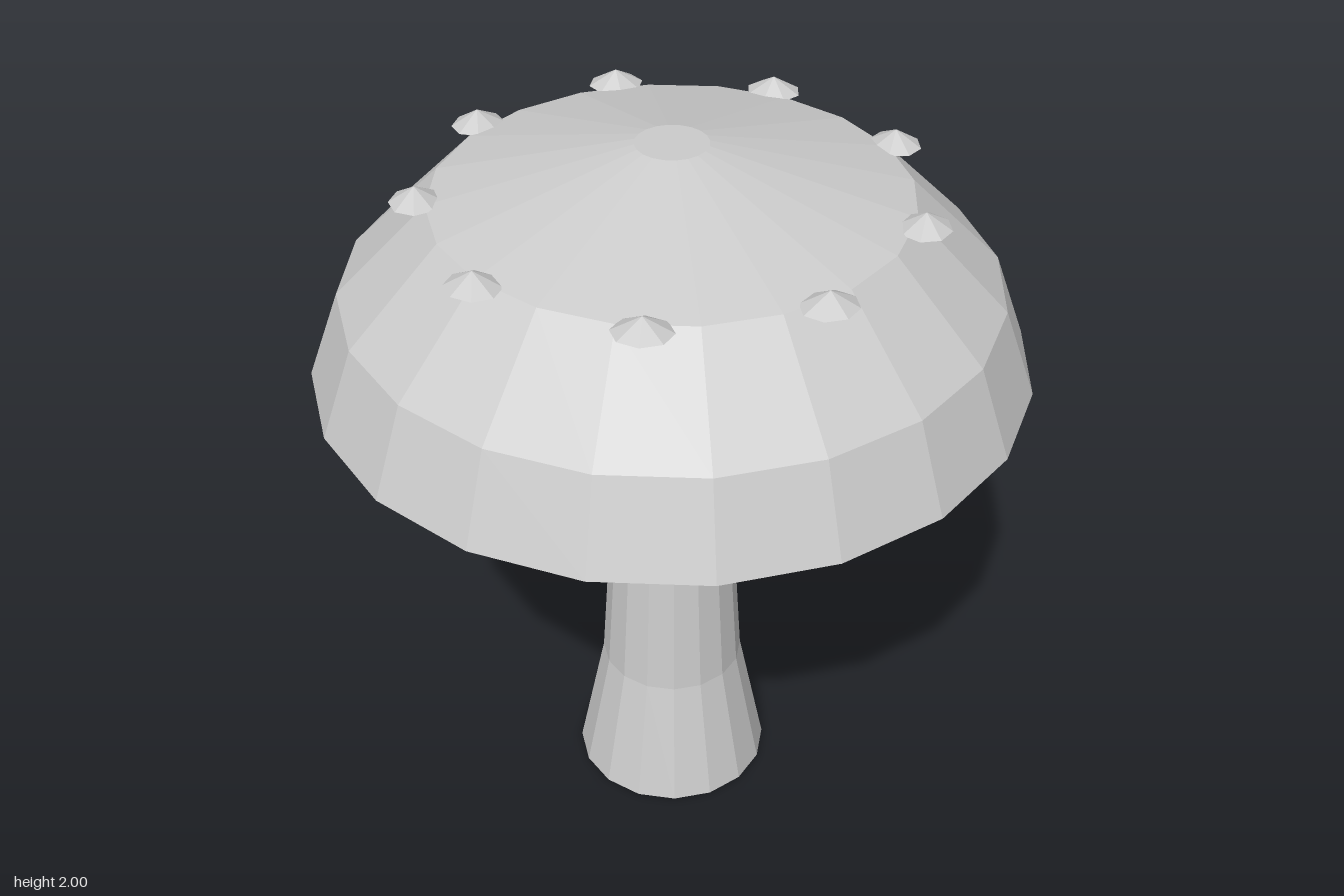
import * as THREE from 'three';

export function createModel() {
  const model = new THREE.Group();
  const grey = new THREE.MeshStandardMaterial({ color: 0xcccccc });
  grey.name = 'light grey';

  // Faceted solid turned around the y axis, profile listed from bottom to top
  const turned = (name, profile, sides) => {
    const points = profile.map(([r, y]) => new THREE.Vector2(r, y));
    const geometry = new THREE.LatheGeometry(points, sides).toNonIndexed();
    geometry.computeVertexNormals();
    const mesh = new THREE.Mesh(geometry, grey);
    mesh.name = name;
    return mesh;
  };

  // Stem with flared foot and a small collar under the cap
  model.add(turned('stem', [
    [0, 0], [0.275, 0], [0.2, 0.375], [0.147, 1.21], [0.18, 1.26], [0.18, 1.27],
  ], 16));

  // Domed cap with stepped gill rings underneath
  model.add(turned('cap', [
    [0, 1.26], [0.6, 1.26], [0.745, 1.308], [0.7, 1.308], [0.835, 1.353], [0.795, 1.353],
    [0.925, 1.4], [0.837, 1.63], [0.6, 1.865], [0.092, 2], [0, 2],
  ], 20));

  // Ring of nine pointed warts on the shoulder of the cap
  const warts = new THREE.Group();
  warts.name = 'warts';
  for (let i = 0; i < 9; i++) {
    const angle = (i / 9) * Math.PI * 2;
    const wart = turned('wart', [[0, 1.847], [0.036, 1.847], [0.073, 1.866], [0, 1.906]], 8);
    wart.scale.x = 0.9;
    wart.rotation.y = -angle;
    wart.position.set(Math.cos(angle) * 0.622, 0, Math.sin(angle) * 0.622);
    warts.add(wart);
  }
  model.add(warts);

  return model;
}
